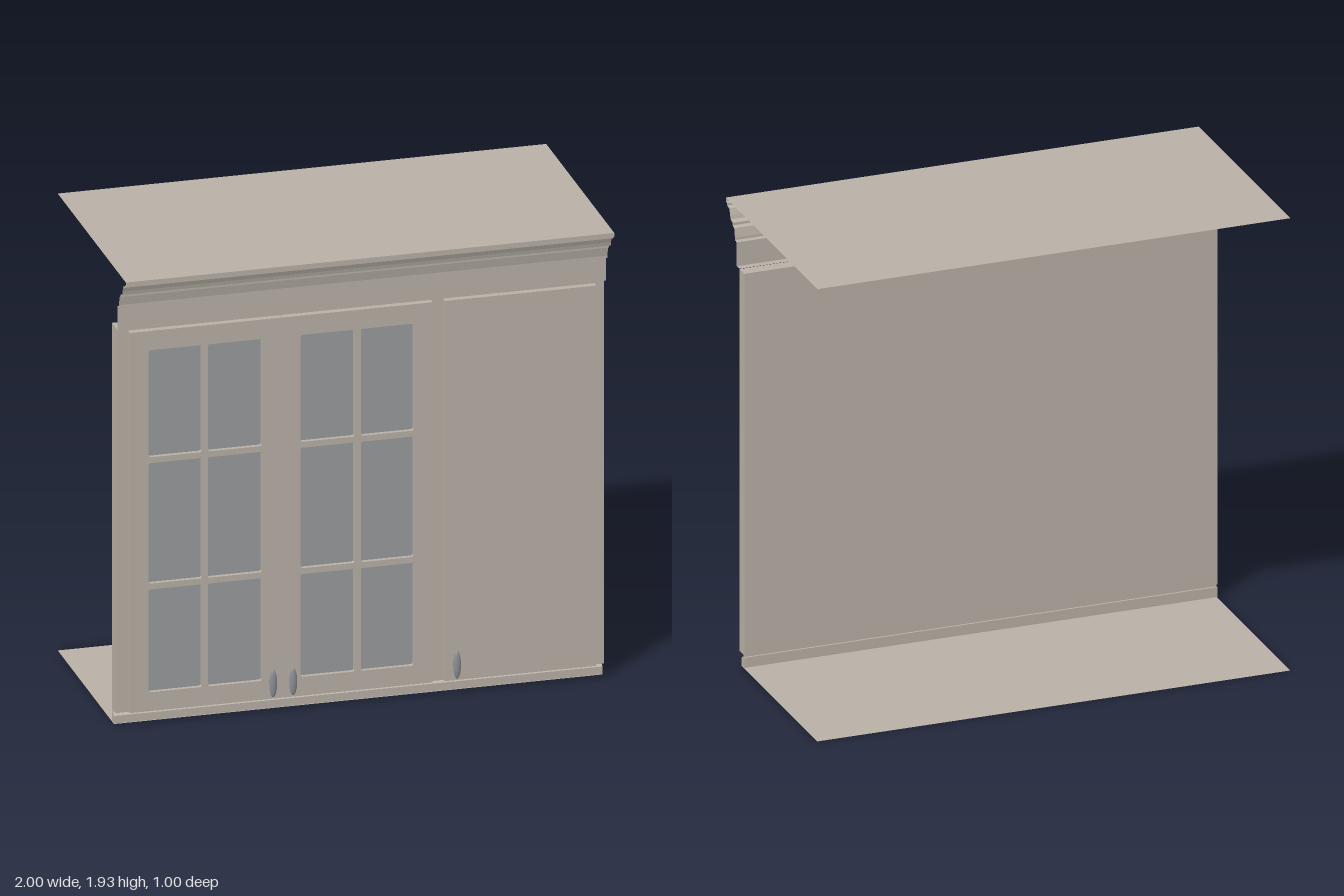
import * as THREE from 'three';

const paint = new THREE.MeshStandardMaterial({ color: 0xb9b1a6 });
paint.name = 'cabinetPaint';
const sheetPaint = new THREE.MeshStandardMaterial({ color: 0xb9b1a6, side: THREE.DoubleSide });
sheetPaint.name = 'thinPanelPaint';
const glass = new THREE.MeshStandardMaterial({ color: 0x989b9e });
glass.name = 'glassGrey';
const metal = new THREE.MeshStandardMaterial({ color: 0x8b8f95 });
metal.name = 'handleMetal';

const BACK = 0.297, FRAME = 0.35, DOOR = 0.378;

function add(parent, name, geometry, material) {
  const mesh = new THREE.Mesh(geometry, material);
  mesh.name = name;
  parent.add(mesh);
  return mesh;
}

// Box given by its minimum and maximum corners
function box(x0, x1, y0, y1, z0, z1) {
  return new THREE.BoxGeometry(x1 - x0, y1 - y0, z1 - z0)
    .translate((x0 + x1) / 2, (y0 + y1) / 2, (z0 + z1) / 2);
}

// Horizontal sheet across the full width
function sheet(y, z0, z1) {
  return new THREE.PlaneGeometry(2, z1 - z0).rotateX(-Math.PI / 2).translate(0, y, (z0 + z1) / 2);
}

// Rectangle path with slightly rounded corners
function paneHole(x0, x1, y0, y1, r = 0.008) {
  const p = new THREE.Path();
  p.moveTo(x0 + r, y0);
  p.lineTo(x1 - r, y0);
  p.quadraticCurveTo(x1, y0, x1, y0 + r);
  p.lineTo(x1, y1 - r);
  p.quadraticCurveTo(x1, y1, x1 - r, y1);
  p.lineTo(x0 + r, y1);
  p.quadraticCurveTo(x0, y1, x0, y1 - r);
  p.lineTo(x0, y0 + r);
  p.quadraticCurveTo(x0, y0, x0 + r, y0);
  return p;
}

// Open moulding: a [z, y] profile swept along x with hard edges
function moulding(profile) {
  const pos = [];
  for (let i = 0; i < profile.length - 1; i++) {
    const [z0, y0] = profile[i], [z1, y1] = profile[i + 1];
    pos.push(-1, y0, z0, 1, y0, z0, 1, y1, z1, -1, y0, z0, 1, y1, z1, -1, y1, z1);
  }
  const g = new THREE.BufferGeometry();
  g.setAttribute('position', new THREE.Float32BufferAttribute(pos, 3));
  g.computeVertexNormals();
  return g;
}

// Door frame with two columns and three rows of panes
function glazedDoor(name, x0, x1, columns) {
  const door = new THREE.Group();
  door.name = name;
  const rows = [[0.14, 0.575], [0.6, 1.11], [1.135, 1.588]];
  const shape = new THREE.Shape([[x0, 0.06], [x1, 0.06], [x1, 1.67], [x0, 1.67]]
    .map(([x, y]) => new THREE.Vector2(x, y)));
  for (const [a, b] of columns) for (const [c, d] of rows) shape.holes.push(paneHole(a, b, c, d));
  const g = new THREE.ExtrudeGeometry(shape, { depth: DOOR - FRAME, bevelEnabled: false, curveSegments: 3 });
  add(door, 'doorFrame', g.translate(0, 0, FRAME), paint);
  add(door, 'glassPane', box(columns[0][0] - 0.01, columns[1][1] + 0.01, 0.13, 1.6, 0.352, 0.36), glass);
  return door;
}

// Oval pull on a short stem
function handle(x) {
  const h = new THREE.Group();
  h.name = 'handle';
  add(h, 'handleStem', new THREE.CylinderGeometry(0.007, 0.01, 0.03, 12).rotateX(Math.PI / 2)
    .translate(0, 0, -0.013), metal);
  add(h, 'handleGrip', new THREE.SphereGeometry(1, 20, 14).scale(0.016, 0.058, 0.01), metal);
  h.position.set(x, 0.135, 0.405);
  return h;
}

export function createModel() {
  const model = new THREE.Group();
  model.name = 'wallCabinet';

  // Carcass
  add(model, 'faceFrame', box(-1, 1, 0.055, 1.688, BACK, FRAME), paint);
  add(model, 'topPanel', sheet(1.935, -0.5, 0.5), sheetPaint);
  add(model, 'bottomPanel', sheet(0, -0.5, 0.327), sheetPaint);

  // Bottom rail with a sloped top edge
  const rail = new THREE.Shape([[BACK, 0.002], [0.327, 0.002], [0.327, 0.034], [0.312, 0.045], [BACK, 0.045]]
    .map(([z, y]) => new THREE.Vector2(z, y)));
  add(model, 'bottomRail', new THREE.ExtrudeGeometry(rail, { depth: 2, bevelEnabled: false })
    .rotateY(-Math.PI / 2).translate(1, 0, 0), paint);
  add(model, 'railBacking', moulding([[0.305, 0.045], [0.305, 0.055]]), sheetPaint);

  // Frieze and stepped crown
  add(model, 'crownMoulding', moulding([
    [0.352, 1.688], [0.38, 1.688], [0.38, 1.79], [0.4, 1.792], [0.4, 1.802], [0.408, 1.84],
    [0.425, 1.845], [0.425, 1.856], [0.448, 1.862], [0.452, 1.878], [0.462, 1.903],
    [0.485, 1.907], [0.485, 1.916], [0.5, 1.919], [0.5, 1.935],
  ]), sheetPaint);

  // Doors
  model.add(glazedDoor('rightGlazedDoor', -0.95, -0.3315, [[-0.872, -0.655], [-0.63, -0.41]]));
  model.add(glazedDoor('middleGlazedDoor', -0.3285, 0.29, [[-0.25, -0.03], [-0.003, 0.212]]));
  add(model, 'leftPanelDoor', box(0.34, 0.96, 0.06, 1.67, FRAME, DOOR), paint);

  for (const x of [-0.37, -0.288, 0.383]) model.add(handle(x));
  return model;
}
